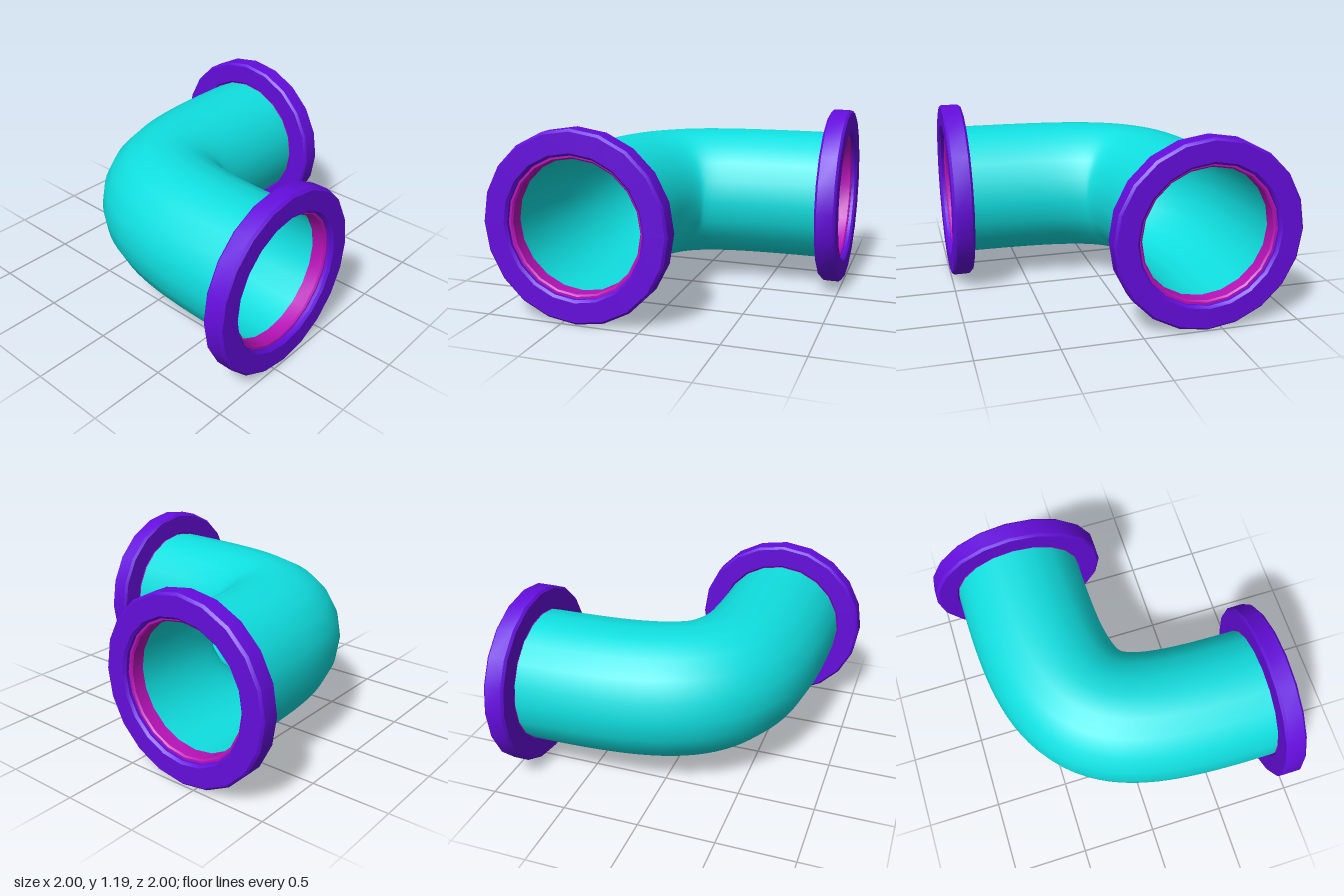
import * as THREE from 'three';
import { toCreasedNormals } from 'three/addons/utils/BufferGeometryUtils.js';

const SIDES = 20;
const AXIS = -0.407; // offset of each opening from the centre
const CENTRE_Y = 0.593;

// Spin a closed [radius, height] profile, with its axis turned to +z
function ring(profile, material, name) {
  const points = [...profile, profile[0]].map(([r, h]) => new THREE.Vector2(r, h));
  const geometry = toCreasedNormals(new THREE.LatheGeometry(points, SIDES), 0.6);
  geometry.rotateX(Math.PI / 2);
  const mesh = new THREE.Mesh(geometry, material);
  mesh.name = name;
  return mesh;
}

export function createModel() {
  const model = new THREE.Group();
  model.name = 'pipeElbow';

  const teal = new THREE.MeshStandardMaterial({ color: 0x10dfe0, side: THREE.DoubleSide });
  const purple = new THREE.MeshStandardMaterial({ color: 0x640ddc });
  const magenta = new THREE.MeshStandardMaterial({ color: 0xb812b8 });

  // Bent pipe, open at both ends
  const bend = new THREE.CubicBezierCurve3(
    new THREE.Vector3(AXIS, CENTRE_Y, 0.88),
    new THREE.Vector3(AXIS, CENTRE_Y, -0.27),
    new THREE.Vector3(-0.27, CENTRE_Y, AXIS),
    new THREE.Vector3(0.88, CENTRE_Y, AXIS)
  );
  const pipe = new THREE.Mesh(new THREE.TubeGeometry(bend, 48, 0.437, SIDES, false), teal);
  pipe.name = 'pipe';
  model.add(pipe);

  // Chamfered flange and the recessed lining in its bore
  const flangeProfile = [
    [0.45, 0.865], [0.578, 0.865], [0.593, 0.88], [0.593, 0.985],
    [0.578, 1], [0.453, 1], [0.438, 0.985], [0.438, 0.877],
  ];
  const liningProfile = [
    [0.439, 0.87], [0.439, 0.965], [0.424, 0.965], [0.414, 0.955], [0.414, 0.87],
  ];

  for (const side of ['front', 'left']) {
    const end = new THREE.Group();
    end.name = side + 'End';
    end.add(ring(flangeProfile, purple, side + 'Flange'));
    end.add(ring(liningProfile, magenta, side + 'Lining'));
    if (side === 'front') {
      end.position.set(AXIS, CENTRE_Y, 0);
    } else {
      end.position.set(0, CENTRE_Y, AXIS);
      end.rotation.y = Math.PI / 2;
    }
    model.add(end);
  }

  return model;
}
